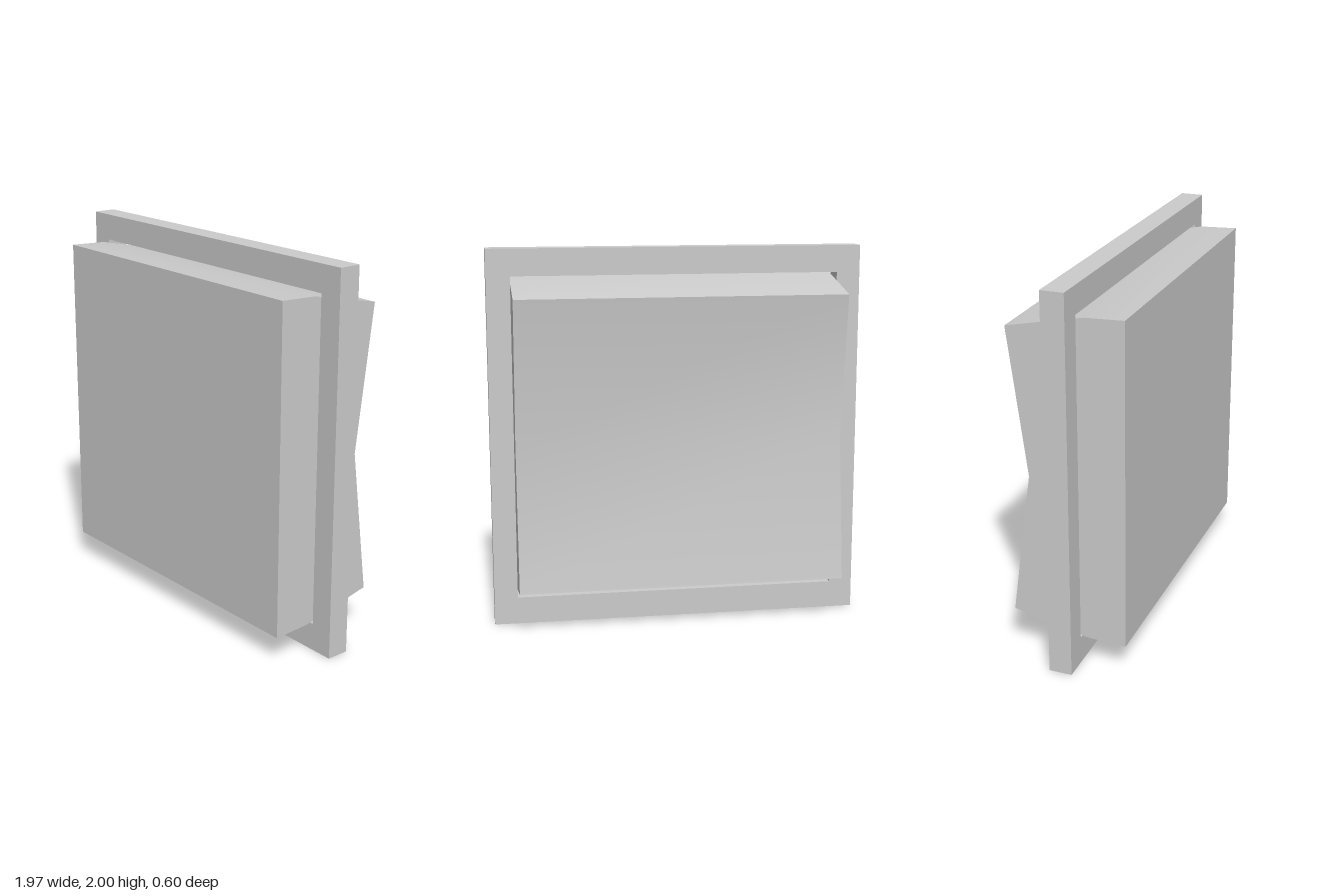
import * as THREE from 'three';
import { toCreasedNormals } from 'three/addons/utils/BufferGeometryUtils.js';

const MID = 1.002; // height of the mirror plane of the rocker and the opening

export function createModel() {
  const group = new THREE.Group();
  const material = new THREE.MeshStandardMaterial({ color: 0xcccccc });

  // Thin square frame with an opening for the rocker
  const frameShape = new THREE.Shape([
    [-0.985, 0], [0.985, 0], [0.985, 2], [-0.985, 2],
  ].map(([x, y]) => new THREE.Vector2(x, y)));
  frameShape.holes.push(new THREE.Path([
    [-0.861, MID - 0.857], [-0.861, MID + 0.857], [0.861, MID + 0.857], [0.861, MID - 0.857],
  ].map(([x, y]) => new THREE.Vector2(x, y))));
  const frameGeometry = new THREE.ExtrudeGeometry(frameShape, { depth: 0.12, bevelEnabled: false });
  frameGeometry.translate(0, 0, -0.06);
  const frame = new THREE.Mesh(frameGeometry, material);
  frame.name = 'frame';
  group.add(frame);

  // Rocker: side profile (z, half height), mirrored top to bottom, extruded across x
  const half = [[0.302, 0.857], [0.1, 0.848], [-0.302, 0.762]];
  const profile = [
    ...half.map(([z, h]) => new THREE.Vector2(z, MID + h)),
    new THREE.Vector2(-0.2, MID), // shallow V in the back face
    ...half.slice().reverse().map(([z, h]) => new THREE.Vector2(z, MID - h)),
  ];
  const rockerGeometry = new THREE.ExtrudeGeometry(new THREE.Shape(profile), { depth: 1.72, bevelEnabled: false });
  rockerGeometry.translate(0, 0, -0.86);
  rockerGeometry.rotateY(-Math.PI / 2);
  const rocker = new THREE.Mesh(toCreasedNormals(rockerGeometry, Math.PI / 6), material);
  rocker.name = 'rocker';
  group.add(rocker);

  return group;
}
